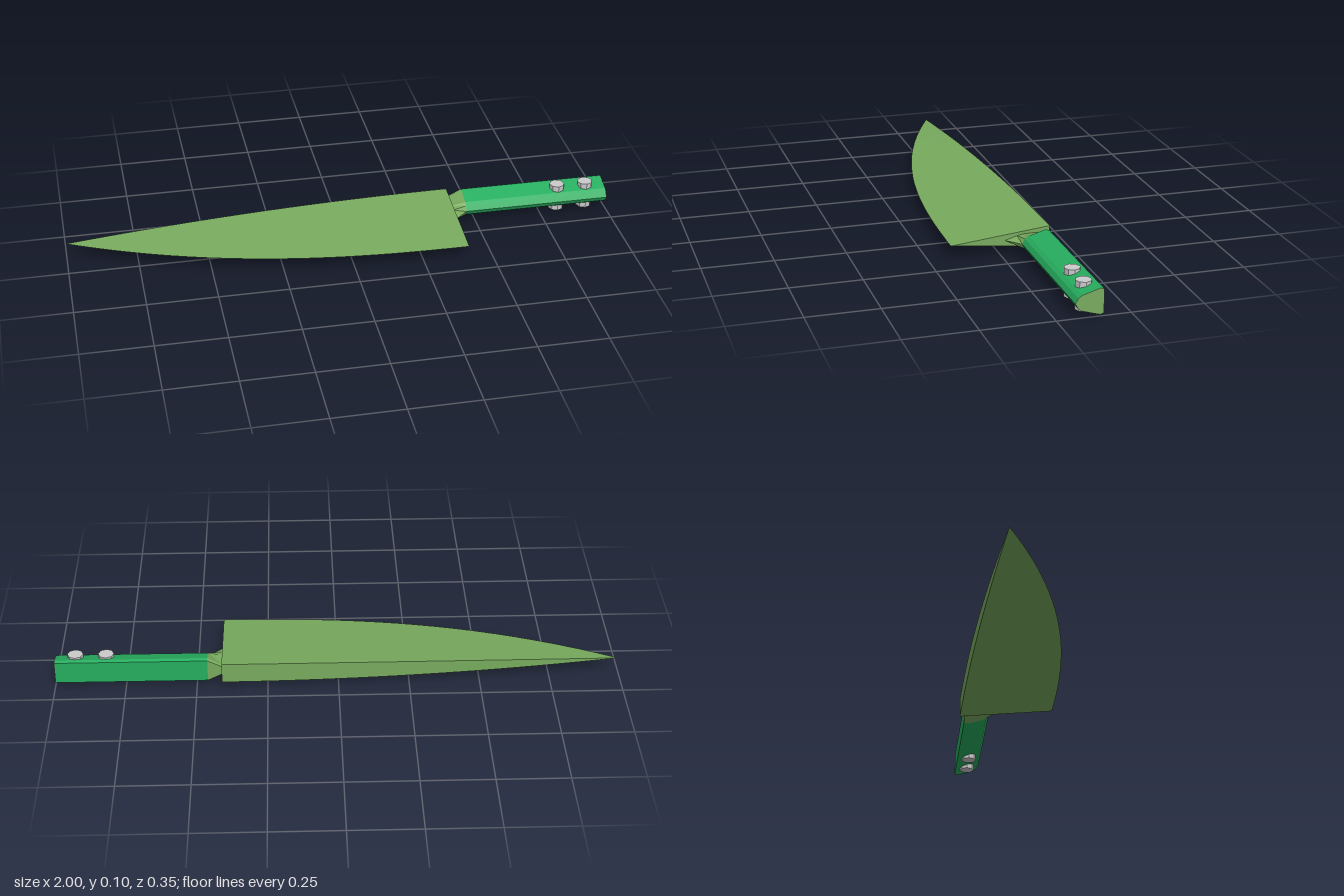
import * as THREE from 'three';

const MID = 0.05; // height of the knife's mid plane

// Closed ring at x from a half outline of [z, half height], back to front
function ring(x, half) {
  const upper = half.map(([z, h]) => new THREE.Vector3(x, MID + h, z));
  const lower = half.filter(([, h]) => h > 0).reverse()
    .map(([z, h]) => new THREE.Vector3(x, MID - h, z));
  return [...upper, ...lower];
}

// Flat-faced skin through rings running towards +x, with optional end caps
function loft(name, rings, material, capStart, capEnd) {
  const pos = [];
  const tri = (a, b, c) => {
    const area = b.clone().sub(a).cross(c.clone().sub(a)).length();
    if (area > 1e-9) pos.push(...a, ...b, ...c);
  };
  const n = rings[0].length;
  for (let s = 0; s < rings.length - 1; s++) {
    const p = rings[s], q = rings[s + 1];
    for (let i = 0; i < n; i++) {
      const j = (i + 1) % n;
      tri(p[i], p[j], q[j]);
      tri(p[i], q[j], q[i]);
    }
  }
  const first = rings[0], last = rings[rings.length - 1];
  for (let i = 1; i < n - 1; i++) {
    if (capStart) tri(first[0], first[i + 1], first[i]);
    if (capEnd) tri(last[0], last[i], last[i + 1]);
  }
  const geo = new THREE.BufferGeometry();
  geo.setAttribute('position', new THREE.Float32BufferAttribute(pos, 3));
  geo.computeVertexNormals();
  const mesh = new THREE.Mesh(geo, material);
  mesh.name = name;
  return mesh;
}

export function createModel() {
  const knife = new THREE.Group();
  knife.name = 'kitchenKnife';
  const bladeMat = new THREE.MeshStandardMaterial({ color: 0x78ab5e, flatShading: true });
  const handleMat = new THREE.MeshStandardMaterial({ color: 0x27ae60, flatShading: true });
  const rivetMat = new THREE.MeshStandardMaterial({ color: 0xcccccc, flatShading: true });

  // Blade: wedge sections growing from the tip to the heel
  const bladeRings = [];
  const steps = 20;
  for (let i = 0; i <= steps; i++) {
    const t = i / steps;
    const ease = 1 - (1 - t) ** 2;
    const spine = -0.12 - 0.057 * ease;
    const edge = -0.12 + 0.295 * (1 - (1 - t) ** 2.45);
    const h = Math.max(0.037 * ease, 1e-5);
    bladeRings.push(ring(-1 + 1.412 * t, [[spine, h], [edge, 0]]));
  }
  knife.add(loft('blade', bladeRings, bladeMat, false, true));

  // Bolster: narrow neck at the heel, flaring to the handle outline
  const neck = [[-0.158, 0.015], [-0.145, 0.017], [-0.085, 0.017], [-0.06, 0.013], [-0.015, 0]];
  const grip = [[-0.158, 0.041], [-0.145, 0.045], [-0.085, 0.027], [-0.072, 0.018], [-0.062, 0]];
  knife.add(loft('bolster', [ring(0.41, neck), ring(0.462, grip)], bladeMat, true, false));

  // Handle, and the butt plate closing its end
  knife.add(loft('handle', [ring(0.462, grip), ring(0.998, grip)], handleMat, true, false));
  knife.add(loft('butt', [ring(0.998, grip), ring(1, grip)], bladeMat, false, true));

  // Rivets passing right through the handle
  for (const x of [0.82, 0.928]) {
    const rivet = new THREE.Mesh(new THREE.CylinderGeometry(0.028, 0.028, 0.1, 8), rivetMat);
    rivet.name = 'rivet';
    rivet.position.set(x, MID, -0.114);
    knife.add(rivet);
  }
  return knife;
}
